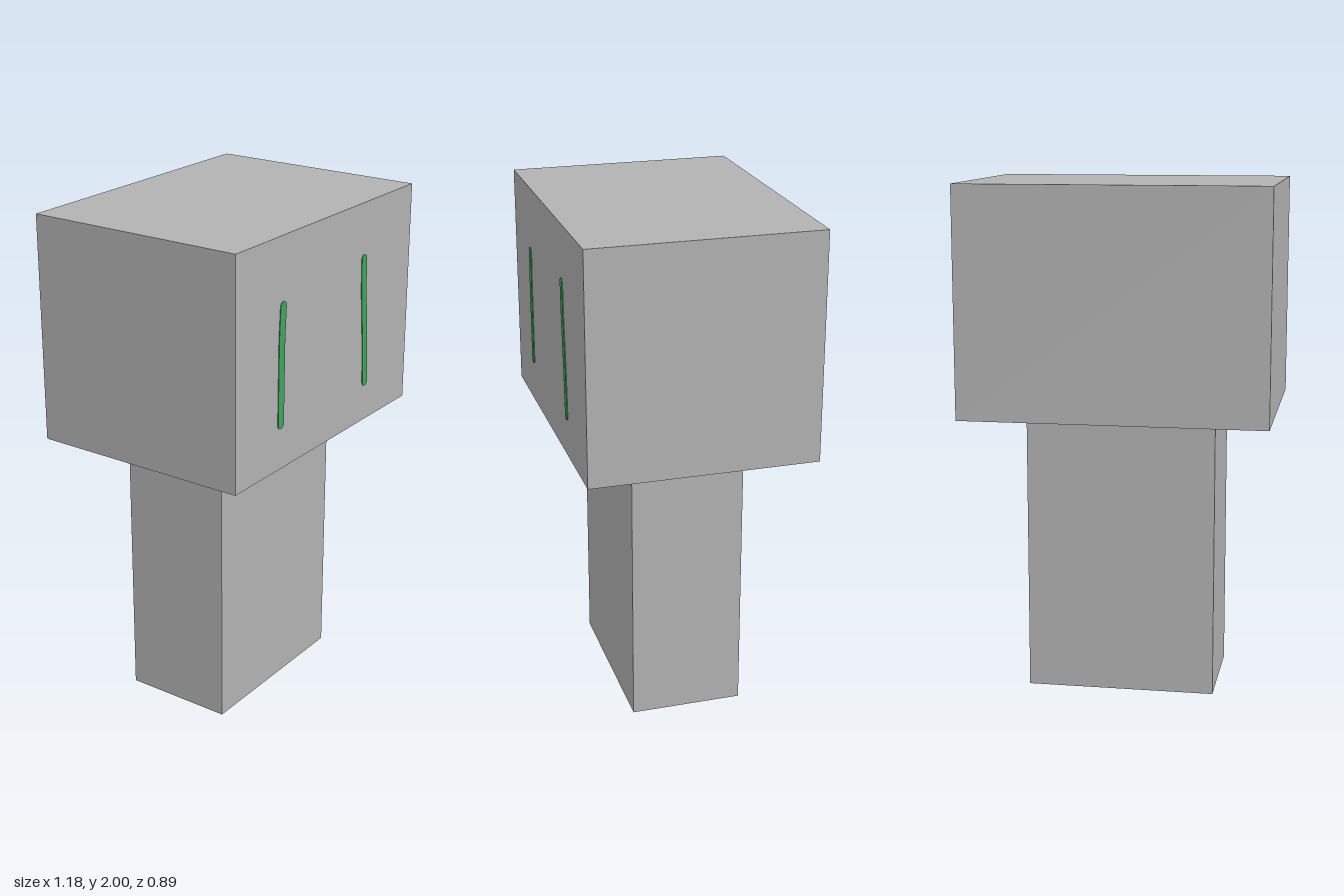
import * as THREE from 'three';

const grey = new THREE.MeshStandardMaterial({ name: 'stone grey', color: 0xb2b2b2 });
const green = new THREE.MeshStandardMaterial({ name: 'eye green', color: 0x41a45c });

const HEAD = { w: 1.184, h: 0.885, d: 0.886 };
const BODY = { w: 0.738, h: 1.115, d: 0.442 };

function block(name, { w, h, d }, y) {
  const mesh = new THREE.Mesh(new THREE.BoxGeometry(w, h, d), grey);
  mesh.name = name;
  mesh.position.y = y + h / 2;
  return mesh;
}

// Thin brush stroke with rounded ends, following points from top to bottom
function stroke(name, points, radius) {
  const [first, last] = [points[0], points[points.length - 1]];
  const shape = new THREE.Shape();
  shape.absarc(first[0], first[1], radius, 0, Math.PI, false);
  points.slice(1, -1).forEach(([x, y]) => shape.lineTo(x - radius, y));
  shape.absarc(last[0], last[1], radius, Math.PI, Math.PI * 2, false);
  points.slice(1, -1).reverse().forEach(([x, y]) => shape.lineTo(x + radius, y));
  shape.closePath();
  const geometry = new THREE.ExtrudeGeometry(shape, { depth: 0.003, bevelEnabled: false, curveSegments: 8 });
  const mesh = new THREE.Mesh(geometry, green);
  mesh.name = name;
  mesh.position.z = HEAD.d / 2;
  return mesh;
}

export function createModel() {
  const model = new THREE.Group();
  model.name = 'blockFigure';
  model.add(
    block('body', BODY, 0),
    block('head', HEAD, BODY.h),
    // Hand-painted eyes on the front of the head
    stroke('rightEye', [[-0.302, 1.741], [-0.309, 1.62], [-0.31, 1.294]], 0.0185),
    stroke('leftEye', [[0.245, 1.781], [0.249, 1.66], [0.268, 1.45], [0.278, 1.277]], 0.0175),
  );
  return model;
}
